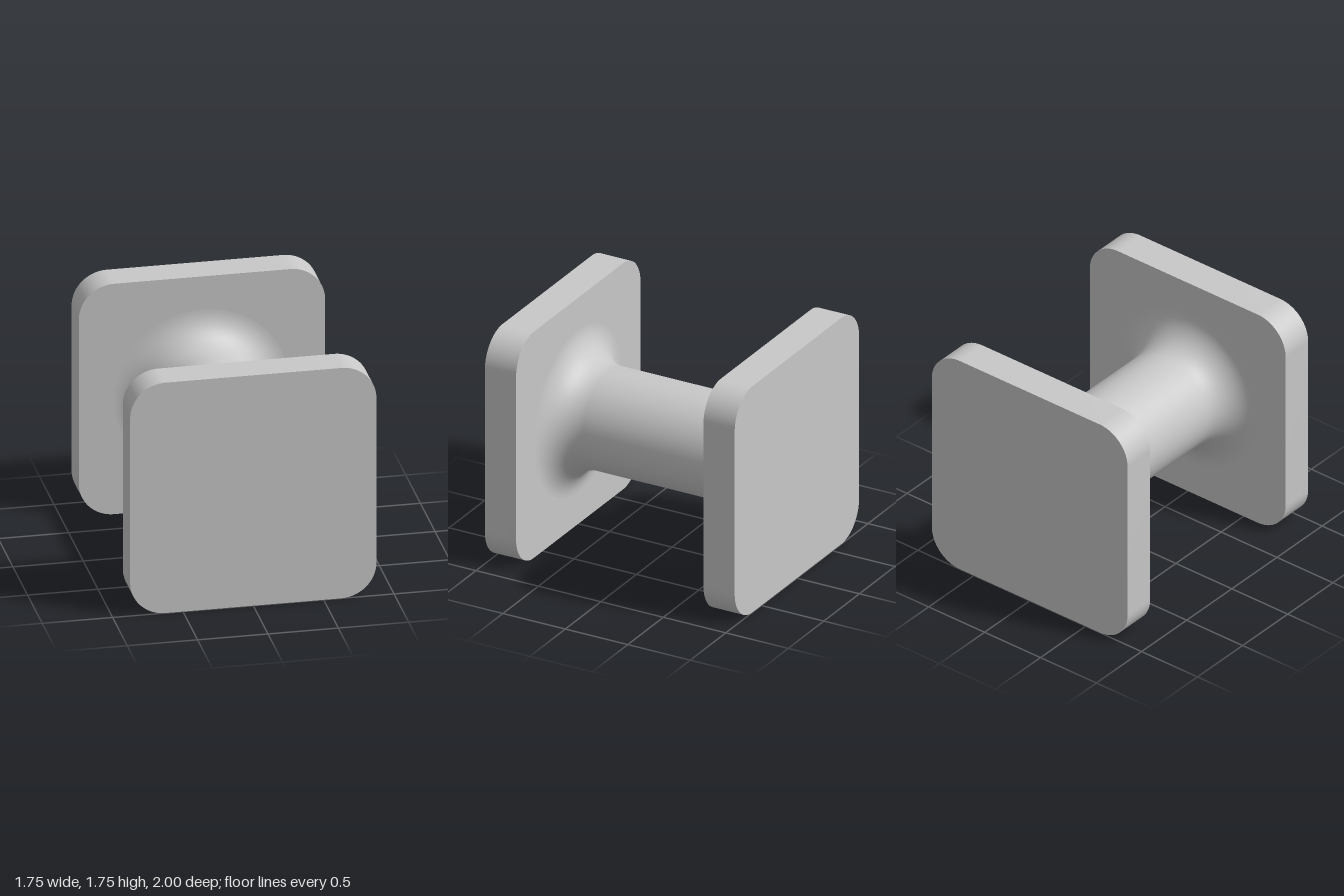
import * as THREE from 'three';
import { toCreasedNormals } from 'three/addons/utils/BufferGeometryUtils.js';

const SIZE = 1.75;      // plate width and height
const DEPTH = 0.25;     // plate thickness
const CORNER = 0.25;    // plate corner radius
const RADIUS = 0.375;   // column radius
const FILLET = 0.25;    // flare where the column meets a plate
const INNER = 0.75;     // distance from centre to a plate's inner face

// Square plate with rounded corners, extruded along +z
function plateGeometry() {
  const h = SIZE / 2, c = h - CORNER;
  const s = new THREE.Shape();
  s.moveTo(c, -h);
  s.absarc(c, -c, CORNER, -Math.PI / 2, 0);
  s.absarc(c, c, CORNER, 0, Math.PI / 2);
  s.absarc(-c, c, CORNER, Math.PI / 2, Math.PI);
  s.absarc(-c, -c, CORNER, Math.PI, Math.PI * 1.5);
  s.closePath();
  const g = new THREE.ExtrudeGeometry(s, { depth: DEPTH, bevelEnabled: false, curveSegments: 16 });
  return toCreasedNormals(g, 0.5);
}

// Round column flaring out with a quarter-circle fillet at both ends
function columnGeometry() {
  const steps = 16, lower = [];
  for (let i = 0; i <= steps; i++) {
    const a = -Math.PI / 2 * (1 + i / steps);
    lower.push(new THREE.Vector2(
      RADIUS + FILLET + FILLET * Math.cos(a),
      -INNER + FILLET + FILLET * Math.sin(a)));
  }
  const upper = lower.map(p => new THREE.Vector2(p.x, -p.y)).reverse();
  return new THREE.LatheGeometry([...lower, ...upper], 64).rotateX(Math.PI / 2);
}

export function createModel() {
  const grey = new THREE.MeshStandardMaterial({ color: 0xc8c8c8 });
  grey.name = 'grey';
  const model = new THREE.Group();
  model.name = 'flangedSpool';

  const add = (name, geometry, z) => {
    const mesh = new THREE.Mesh(geometry, grey);
    mesh.name = name;
    mesh.position.set(0, SIZE / 2, z);
    model.add(mesh);
  };

  const plate = plateGeometry();
  add('frontPlate', plate, INNER);
  add('backPlate', plate, -INNER - DEPTH);
  add('column', columnGeometry(), 0);
  return model;
}
